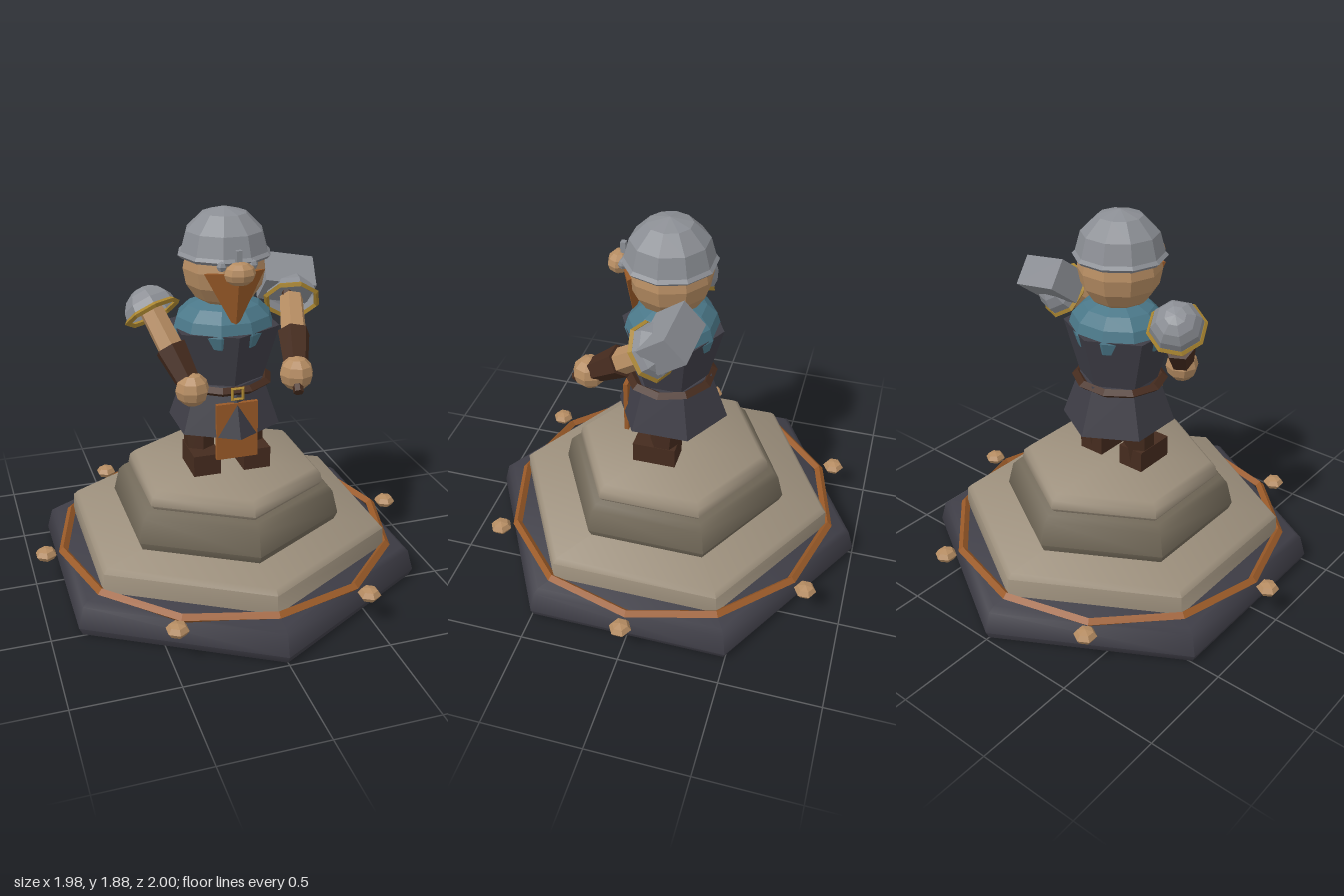
import * as THREE from 'three';
import { toCreasedNormals } from 'three/addons/utils/BufferGeometryUtils.js';

const paint = (name, color, side = THREE.FrontSide) => {
  const m = new THREE.MeshStandardMaterial({ color, side });
  m.name = name;
  return m;
};
const V = (x, y, z) => new THREE.Vector3(x, y, z);
const UP = V(0, 1, 0);

export function createModel() {
  const model = new THREE.Group();
  model.name = 'statuette';
  const slate = paint('slate', 0x3e3d46);
  const stone = paint('paleStone', 0x9c8f7c);
  const darkStone = paint('darkStone', 0x716858);
  const copper = paint('copper', 0x9a5a28);
  const skin = paint('skin', 0xb58c62);
  const steel = paint('steel', 0x8b8e94, THREE.DoubleSide);
  const teal = paint('teal', 0x4a7788);
  const leather = paint('leather', 0x452b1e);
  const gold = paint('gold', 0xa98530);

  // Adds a faceted part
  const add = (name, geo, mat, pos = V(0, 0, 0), parent = model) => {
    const flat = geo.index ? geo.toNonIndexed() : geo;
    flat.computeVertexNormals();
    const mesh = new THREE.Mesh(flat, mat);
    mesh.name = name;
    mesh.position.copy(pos);
    parent.add(mesh);
    return mesh;
  };
  // Tapered limb running from a to b
  const limb = (name, a, b, ra, rb, sides, mat, parent) => {
    const d = b.clone().sub(a);
    const mesh = add(name, new THREE.CylinderGeometry(rb, ra, d.length(), sides), mat,
      a.clone().add(b).multiplyScalar(0.5), parent);
    mesh.quaternion.setFromUnitVectors(UP, d.normalize());
    return mesh;
  };
  // Horizontal ring with a diamond section
  const ring = (r, tube, sides) => new THREE.TorusGeometry(r, tube, 4, sides).rotateX(Math.PI / 2);

  // Hexagonal plinth tiers, each a bevelled profile of [radius, height]
  const tier = (name, mat, profile) => {
    const pts = profile.map(([r, y]) => new THREE.Vector2(r, y));
    const geo = toCreasedNormals(new THREE.LatheGeometry(pts, 6), 1.1);
    const mesh = new THREE.Mesh(geo, mat);
    mesh.name = name;
    model.add(mesh);
  };
  tier('baseSlab', slate, [[0, 0], [0.98, 0], [1, 0.04], [0.97, 0.145], [0.94, 0.165], [0, 0.165]]);
  tier('lowerStep', stone, [[0, 0.16], [0.84, 0.16], [0.835, 0.26], [0.81, 0.285], [0, 0.285]]);
  tier('middleStep', darkStone, [[0, 0.28], [0.58, 0.28], [0.6, 0.325], [0.57, 0.445], [0.54, 0.475], [0, 0.475]]);
  tier('upperStep', stone, [[0, 0.47], [0.495, 0.47], [0.515, 0.495], [0.505, 0.54], [0.475, 0.566], [0, 0.566]]);

  // Copper band and studs around the base
  add('baseBand', ring(0.852, 0.024, 12), copper, V(0, 0.168, 0));
  for (let i = 0; i < 6; i++) {
    const a = i * Math.PI / 3;
    const stud = new THREE.SphereGeometry(0.056, 6, 4).rotateY(Math.PI / 6).scale(1, 0.6, 1);
    add('baseStud', stud, skin, V(0.94 * Math.cos(a), 0.168, 0.94 * Math.sin(a)));
  }

  // Legs and boots
  for (const s of [-1, 1]) {
    limb('leg', V(s * 0.13, 0.6, 0.01), V(s * 0.13, 0.86, -0.01), 0.075, 0.085, 6, leather);
    add('boot', new THREE.BoxGeometry(0.14, 0.11, 0.22), leather, V(s * 0.13, 0.62, 0.045));
  }

  // Tunic, shirt, belt and hanging cloth
  add('skirt', new THREE.CylinderGeometry(0.2, 0.285, 0.24, 6), slate, V(0, 0.92, 0));
  add('torso', new THREE.CylinderGeometry(0.283, 0.2, 0.28, 6), slate, V(0, 1.17, 0)).scale.z = 0.9;
  add('shirt', new THREE.SphereGeometry(1, 10, 8).scale(0.255, 0.16, 0.23), teal, V(0, 1.3, 0));
  add('belt', ring(0.215, 0.03, 10).scale(1, 0.75, 0.95), leather, V(0, 1.025, 0.01));
  add('buckle', new THREE.TorusGeometry(0.038, 0.01, 4, 4).rotateZ(Math.PI / 4), gold, V(0, 1.02, 0.23));
  add('hangingCloth', new THREE.BoxGeometry(0.21, 0.29, 0.022), copper, V(0, 0.825, 0.217));

  // Head, nose and beard
  add('head', new THREE.SphereGeometry(0.205, 10, 8), skin, V(0, 1.6, 0.01));
  add('nose', new THREE.SphereGeometry(1, 8, 6).scale(0.077, 0.056, 0.058), skin, V(0, 1.62, 0.255));
  const beard = new THREE.ConeGeometry(0.148, 0.28, 4).rotateX(Math.PI).scale(1, 1, 0.5);
  add('beard', beard, copper, V(0, 1.47, 0.185)).rotation.x = -0.08;

  // Helmet with rim, nose guard and brow studs
  add('helmet', new THREE.SphereGeometry(0.217, 10, 3, 0, Math.PI * 2, 0, Math.PI / 2), steel, V(0, 1.668, 0.012));
  add('helmetRim', ring(0.213, 0.016, 10), steel, V(0, 1.665, 0.012));
  add('noseGuard', new THREE.BoxGeometry(0.028, 0.12, 0.025), steel, V(0, 1.665, 0.235));
  for (const s of [-1, 1]) {
    add('browStud', new THREE.SphereGeometry(0.025, 6, 4), steel, V(s * 0.075, 1.65, 0.215));
  }

  // Arms with bracers, hands and domed shoulder guards
  const arm = (name, shoulder, hand) => {
    const g = new THREE.Group();
    g.name = name;
    model.add(g);
    const at = t => shoulder.clone().lerp(hand, t);
    limb('upperArm', at(-0.05), at(0.6), 0.06, 0.066, 6, skin, g);
    limb('bracer', at(0.45), at(0.88), 0.08, 0.062, 6, leather, g);
    add('hand', new THREE.SphereGeometry(0.083, 8, 6), skin, hand, g);
    const guard = new THREE.Group();
    guard.name = 'shoulderGuard';
    guard.position.copy(at(-0.02));
    guard.quaternion.setFromUnitVectors(UP, shoulder.clone().sub(hand).normalize());
    g.add(guard);
    add('guardDome', new THREE.SphereGeometry(0.132, 8, 4, 0, Math.PI * 2, 0, Math.PI / 2), steel, undefined, guard);
    add('guardTrim', ring(0.132, 0.014, 8), gold, undefined, guard);
  };
  arm('rightArm', V(-0.35, 1.385, 0), V(-0.225, 1.07, 0.225));
  arm('leftArm', V(0.35, 1.385, 0.01), V(0.255, 1.14, 0.34));

  // Hammer carried over the left shoulder
  const headAt = V(0.35, 1.48, -0.09), tip = V(0.235, 1.075, 0.425);
  limb('hammerHaft', tip, headAt, 0.025, 0.025, 6, leather);
  const head = add('hammerHead', new THREE.BoxGeometry(0.26, 0.18, 0.155), steel, headAt);
  head.quaternion.setFromUnitVectors(UP, headAt.clone().sub(tip).normalize());

  return model;
}
